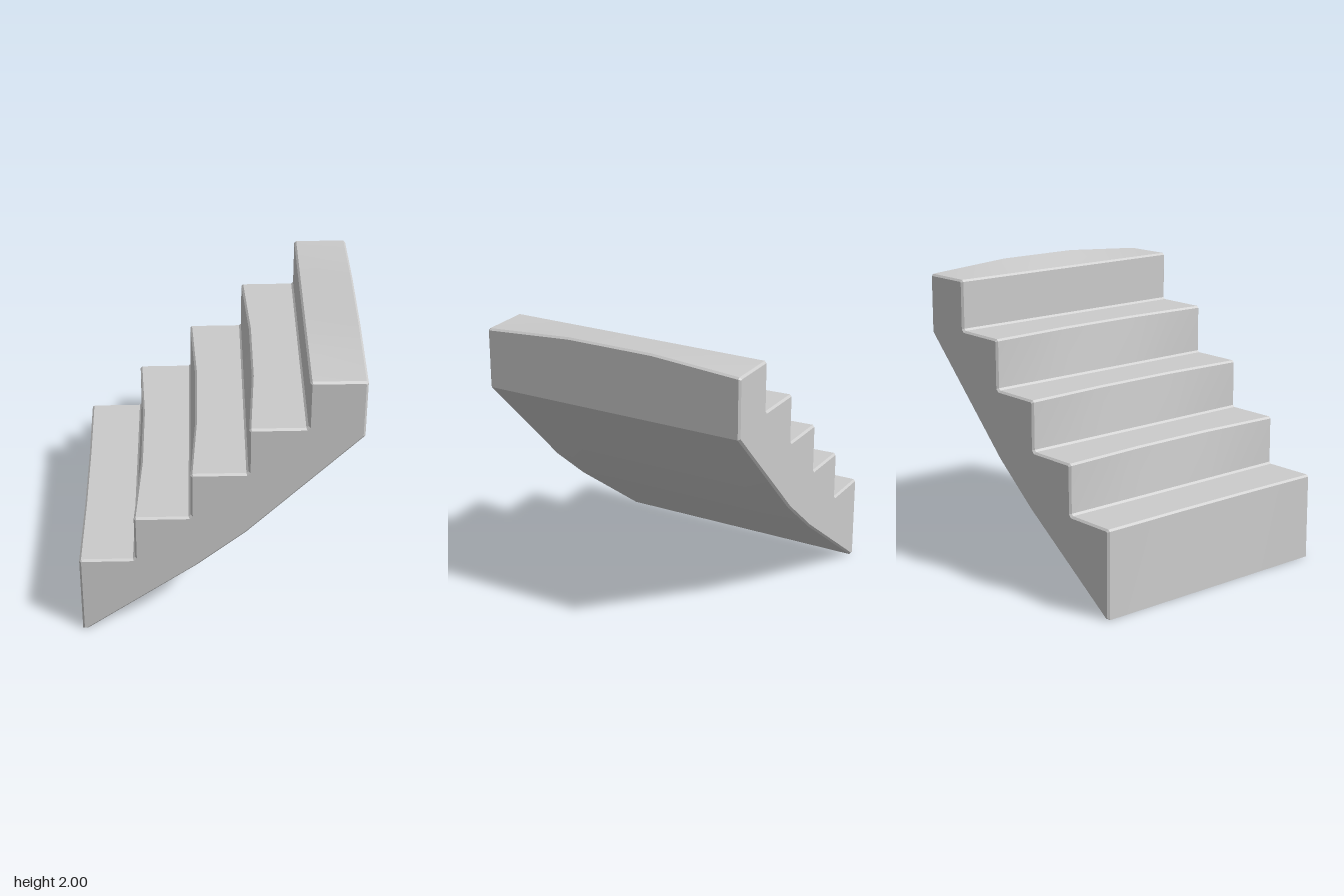
import * as THREE from 'three';
import { toCreasedNormals } from 'three/addons/utils/BufferGeometryUtils.js';

const BEVEL = 0.013;
const HALF = 0.916;

// Outline seen from the front, clockwise: [x, y, bow in x, bow in y]
function outline() {
  const risers = [-0.91, -0.545, -0.178, 0.188, 0.555];
  const treads = [0.59, 0.932, 1.273, 1.614, 1.957];
  const noseBow = [0.008, 0.033, 0.033, 0.036, 0];
  const pts = [[-0.91, 0, 0, 0]];
  risers.forEach((x, i) => {
    const y = treads[i], b = noseBow[i];
    // chamfered inner corner at the foot of each riser
    if (i > 0) {
      const foot = treads[i - 1] + 0.004;
      pts.push([x - BEVEL, foot, 0, 0], [x, foot + BEVEL, 0, 0]);
    }
    // chamfered nosing
    pts.push([x, y - BEVEL, b, 0], [x + BEVEL, y, b, 0]);
  });
  // crowned rear edge, back face and sloping underside
  pts.push([0.897, 1.957, 0, 0.043], [0.91, 1.945, 0, 0.043]);
  pts.push([0.91, 1.556, 0, 0], [0.18, 0.81, 0, 0], [-0.14, 0.54, 0, 0], [-0.875, 0, 0, 0]);
  return pts;
}

// Cross-section at depth z, shrunk by inset for the bevelled ends
function section(z, inset) {
  const t = Math.max(0, (Math.abs(z) - 0.3) / (HALF - 0.3));
  const bow = 1 - t;
  const p = outline().map(([x, y, bx, by]) => new THREE.Vector2(x + bx * bow, y + by * bow));
  const normal = (a, b) => new THREE.Vector2(a.y - b.y, b.x - a.x).normalize();
  return p.map((c, i) => {
    const n1 = normal(p[(i + p.length - 1) % p.length], c);
    const n2 = normal(c, p[(i + 1) % p.length]);
    const miter = n1.clone().add(n2).multiplyScalar(inset / (1 + n1.dot(n2)));
    return c.clone().sub(miter);
  });
}

function stairGeometry() {
  const e = HALF - BEVEL;
  const depths = [-HALF, -e, -0.6, -0.3, 0, 0.3, 0.6, e, HALF];
  const rings = depths.map(z => section(z, Math.abs(z) === HALF ? BEVEL : 0));
  const n = rings[0].length;
  const positions = [], index = [];
  rings.forEach((ring, i) => ring.forEach(p => positions.push(p.x, p.y, depths[i])));

  // skin between neighbouring sections
  for (let i = 0; i < rings.length - 1; i++) {
    for (let j = 0; j < n; j++) {
      const k = (j + 1) % n;
      const a = i * n + j, b = a + n, c = (i + 1) * n + k, d = i * n + k;
      index.push(a, b, c, a, c, d);
    }
  }

  // flat side faces
  const cap = (r, facing) => {
    const ring = rings[r];
    for (const [a, b, c] of THREE.ShapeUtils.triangulateShape(ring, [])) {
      const area = ring[b].clone().sub(ring[a]).cross(ring[c].clone().sub(ring[a]));
      const o = r * n;
      if (area * facing > 0) index.push(o + a, o + b, o + c);
      else index.push(o + a, o + c, o + b);
    }
  };
  cap(0, -1);
  cap(rings.length - 1, 1);

  const geo = new THREE.BufferGeometry();
  geo.setAttribute('position', new THREE.Float32BufferAttribute(positions, 3));
  geo.setIndex(index);
  return toCreasedNormals(geo, 0.4);
}

export function createModel() {
  const group = new THREE.Group();
  group.name = 'staircase';
  const flight = new THREE.Mesh(stairGeometry(), new THREE.MeshStandardMaterial({ color: 0xcccccc }));
  flight.name = 'stairFlight';
  group.add(flight);
  return group;
}
